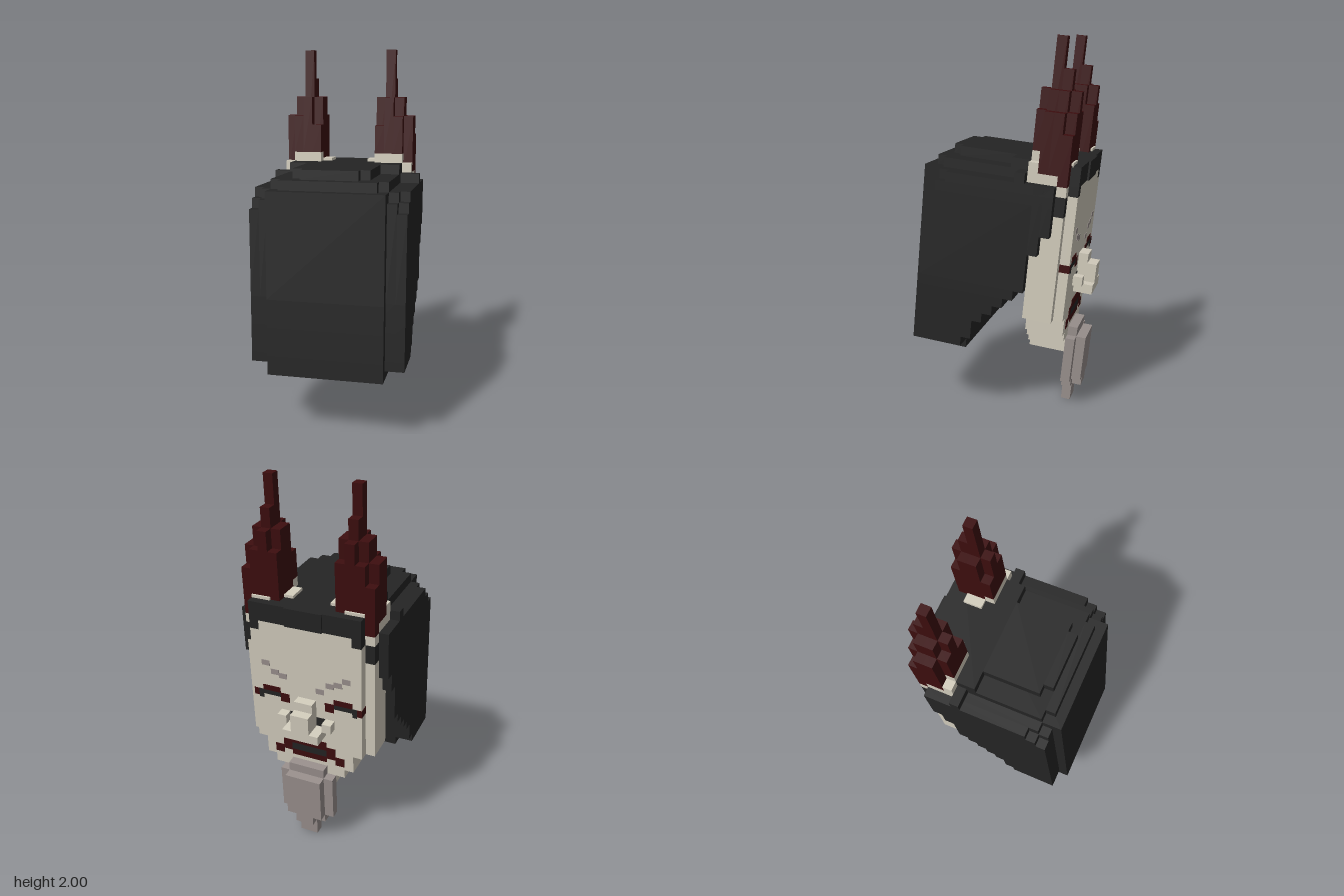
import * as THREE from 'three';

export function createModel() {
  const mat = (name, color) => {
    const m = new THREE.MeshStandardMaterial({ color });
    m.name = name;
    return m;
  };
  const hairMat = mat('charcoal hair', 0x242424);
  const skin = mat('cream skin', 0xd2ccbc);
  const red = mat('dark red', 0x3c0d0e);
  const grey = mat('grey beard', 0x988f8c);

  const model = new THREE.Group();
  model.name = 'voxelHead';
  // Everything is measured in voxel cells, then scaled and slightly tilted.
  const head = new THREE.Group();
  head.name = 'tiltedHead';
  head.scale.setScalar(0.0508);
  head.rotation.set(-0.096, 0.02, 0.02);
  head.position.set(-0.01, 0.9, 0);
  model.add(head);

  const part = (name) => {
    const g = new THREE.Group();
    g.name = name;
    head.add(g);
    return g;
  };
  // Box from min/max on x, y, z
  const box = (g, m, x0, x1, y0, y1, z0, z1) => {
    const mesh = new THREE.Mesh(new THREE.BoxGeometry(x1 - x0, y1 - y0, z1 - z0), m);
    mesh.position.set((x0 + x1) / 2, (y0 + y1) / 2, (z0 + z1) / 2);
    mesh.name = g.name + 'Block';
    g.add(mesh);
  };
  // Box centred on x, given its half width
  const mid = (g, m, h, ...r) => box(g, m, -h, h, ...r);
  // Pair of boxes mirrored in x
  const pair = (g, m, x0, x1, ...r) => {
    box(g, m, x0, x1, ...r);
    box(g, m, -x1, -x0, ...r);
  };

  // Hair: back mass with a stepped underside [y0, y1, front z]
  const hair = part('hair');
  const steps = [[-10, -9, 2.5], [-9, -7, 1.5], [-7, -6, 0.5], [-6, -5, -0.5],
    [-5, -4, -1.5], [-4, -3, -2.5], [-3, 8, -3.5]];
  mid(hair, hairMat, 6, -11, -10, 2.5, 8.5);
  for (const [y0, y1, z] of steps) {
    mid(hair, hairMat, 6, y0, y1, z, 8.5);
    pair(hair, hairMat, 6, 7, y0, Math.min(y1, 7), z, 7.5);
    pair(hair, hairMat, 7, 8, y0, Math.min(y1, 6), z, 7.5);
  }
  // Rounded upper corners
  pair(hair, hairMat, 6, 7, 7, 8, -5.5, 6.5);
  pair(hair, hairMat, 7, 8, 6, 7, -5.5, 6.5);
  pair(hair, hairMat, 7, 8, 7, 8, -5.5, 5.5);
  // Locks stepping forward beside the face
  pair(hair, hairMat, 7, 8, 1, 8, -4.5, -3.5);
  pair(hair, hairMat, 7, 8, 3, 8, -5.5, -4.5);
  pair(hair, hairMat, 6, 7, 5, 7, -6.5, -3.5);
  pair(hair, hairMat, 5, 6, 7, 8, -7.5, -3.5);
  // Crown layers
  mid(hair, hairMat, 6, 8, 9, -7.5, 6.5);
  mid(hair, hairMat, 5, 8, 9, 6.5, 7.5);
  mid(hair, hairMat, 8, 8, 9, -2.5, -1.5);
  mid(hair, hairMat, 6, 9, 10, -7.5, -0.5);
  mid(hair, hairMat, 4, 9, 10, -0.5, 5.5);
  mid(hair, hairMat, 3, 9, 10, 5.5, 6.5);
  mid(hair, hairMat, 2, 8, 10, -7.7, -7.5);

  // Head: tapered jaw rows [half width, y0, y1], then the face plate
  const face = part('face');
  for (const [h, y0, y1] of [[2, -11, -10], [3, -10, -9], [4, -9, -8], [5, -8, -6], [7, -6, 5], [6, 5, 8]])
    mid(face, skin, h, y0, y1, -6.5, -3.5);
  for (const [h, y0, y1] of [[2, -11, -10], [3, -10, -9], [4, -9, -8], [5, -8, -6], [6, -6, 7], [5, 7, 8]])
    mid(face, skin, h, y0, y1, -7.5, -6.5);

  // Nose
  const nose = part('nose');
  mid(nose, skin, 1, -4, -1, -9.5, -7.5);
  mid(nose, skin, 1, -1, 0, -8.5, -7.5);
  mid(nose, skin, 2, -4, -3, -9.5, -7.5);
  pair(nose, skin, 2, 3, -3, -2, -8.5, -7.5);

  // Painted cells: thin plates on the face
  const paint = (g, m, x0, x1, y0, y1) => box(g, m, x0, x1, y0, y1, -7.56, -7.45);
  const both = (g, m, x0, x1, y0, y1) => {
    paint(g, m, x0, x1, y0, y1);
    paint(g, m, -x1, -x0, y0, y1);
  };
  const eyes = part('eyes');
  both(eyes, red, 3, 5, 0, 0.6);
  both(eyes, hairMat, 3, 5, -0.5, 0);
  both(eyes, red, 2, 3, -1, 0);
  both(eyes, hairMat, 5, 5.5, -1, 0);
  pair(eyes, red, 5.5, 6.05, -0.8, 0, -7.56, -6.5);
  const nostrils = part('nostrils');
  both(nostrils, hairMat, 1, 2, -3, -2);

  const brows = part('brows');
  for (const [x, y] of [[4.5, 3.3], [3.5, 2.4], [2.6, 2.1], [-1.5, 1.2], [-2.6, 2.1], [-3.5, 2.4], [-4.4, 3]])
    paint(brows, grey, x - 0.45, x + 0.45, y - 0.3, y + 0.3);

  const mouth = part('mouth');
  paint(mouth, red, -2, 2, -6, -5);
  both(mouth, red, 2, 3, -7, -5.6);
  both(mouth, red, 3, 4, -7.6, -6.6);
  paint(mouth, hairMat, -2, 2, -6.8, -6);
  paint(mouth, red, -2, 2, -7.5, -6.8);

  // Beard
  const beard = part('beard');
  for (const [h, y0, y1] of [[2, -9, -8], [3, -14, -9], [2, -15, -14], [1, -17, -15]])
    mid(beard, grey, h, y0, y1, -8.5, -7.5);
  mid(beard, grey, 2, -14, -9, -9.5, -8.5);
  mid(beard, grey, 1, -15, -14, -9.5, -8.5);

  // Horns: 4 x 4 columns; rows run outwards in x, values are tops from front to back in z
  const tops = [[14, 17, 17, 15], [17, 22, 19, 17], [15, 17, 17, 15], [0, 15, 15, 13]];
  const horns = part('horns');
  tops.forEach((row, i) => row.forEach((top, k) => {
    const z = -2.5 - k;
    const base = k === 0 ? 11 : k === 3 ? 8 : 9;
    if (top) pair(horns, red, 3 + i, 4 + i, base, top, z - 1, z);
  }));

  // Pale sockets around the horn bases
  const sockets = part('hornSockets');
  pair(sockets, skin, 3, 6, 9, 11, -3.5, -2.5);
  pair(sockets, skin, 6, 7, 8, 10, -3.5, -2.5);
  pair(sockets, skin, 6, 7, 8, 9, -5.5, -3.5);
  pair(sockets, skin, 6, 7, 7, 8, -6.5, -5.5);
  pair(sockets, skin, 2, 3, 9, 10.3, -5.5, -3.5);
  pair(sockets, skin, 4, 6, 9.9, 10.3, -6.7, -6.4);

  return model;
}
